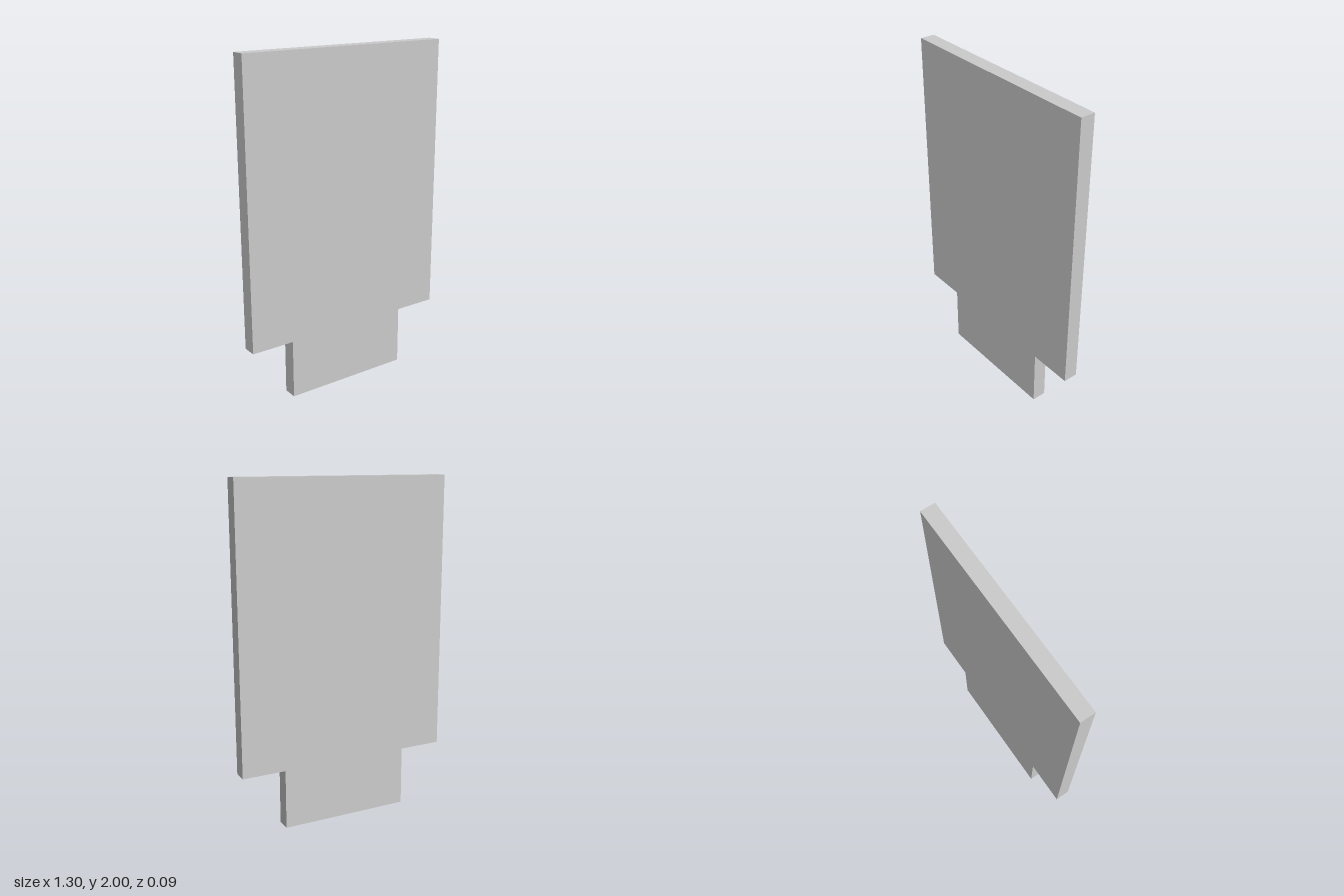
import * as THREE from 'three';

export function createModel() {
  const group = new THREE.Group();
  group.name = 'tabbedPanel';

  const halfWidth = 0.65, tabHalfWidth = 0.39;
  const height = 2, tabHeight = 0.353, thickness = 0.086;

  // Right half of the outline, mirrored to close the silhouette
  const half = [
    [tabHalfWidth, 0], [tabHalfWidth, tabHeight],
    [halfWidth, tabHeight], [halfWidth, height],
  ];
  const outline = [...half, ...half.map(([x, y]) => [-x, y]).reverse()];
  const shape = new THREE.Shape(outline.map(([x, y]) => new THREE.Vector2(x, y)));

  // Flat panel with a narrower tab at the bottom
  const geometry = new THREE.ExtrudeGeometry(shape, { depth: thickness, bevelEnabled: false });
  geometry.translate(0, 0, -thickness / 2);
  const panel = new THREE.Mesh(geometry, new THREE.MeshStandardMaterial({ color: 0xcccccc }));
  panel.name = 'panel';
  group.add(panel);

  return group;
}
